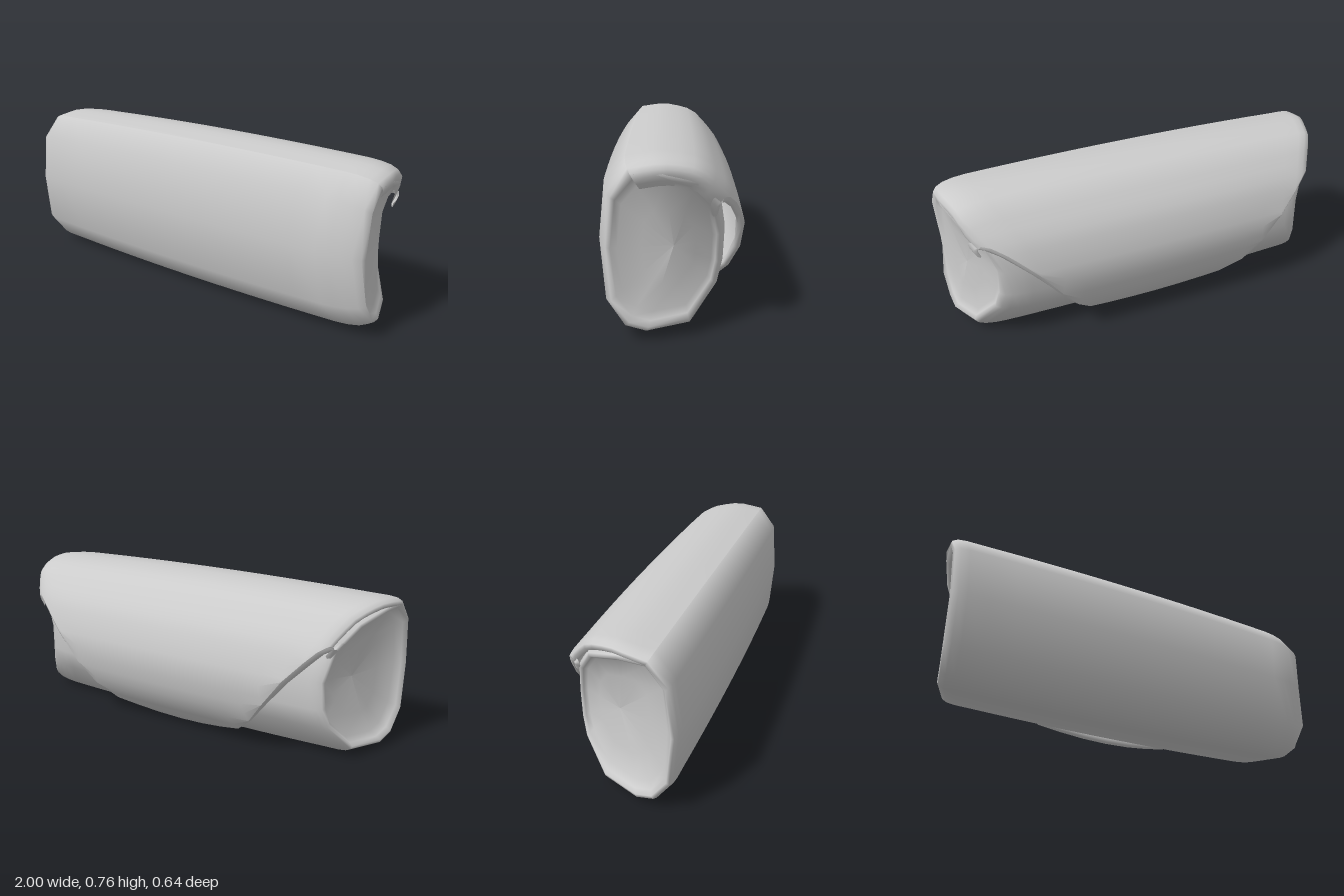
import * as THREE from 'three';

// Piecewise-linear lookup in a short list of [key, value] pairs
function lookup(table, k) {
  if (k <= table[0][0]) return table[0][1];
  for (let i = 1; i < table.length; i++) {
    const [a, va] = table[i - 1], [b, vb] = table[i];
    if (k <= b) return va + (vb - va) * (k - a) / (b - a);
  }
  return table[table.length - 1][1];
}

// Half length at each depth z: the ends slant inwards towards the back,
// and the inner layer slants more than the flap that covers it
const FLAP_LEFT = [[-0.32, 0.76], [-0.25, 0.83], [-0.18, 0.905], [-0.12, 0.95], [0.05, 0.995], [0.25, 1], [0.32, 0.9]];
const FLAP_RIGHT = [[-0.32, 0.74], [-0.25, 0.80], [-0.09, 0.915], [0.08, 0.98], [0.25, 1]];
const BODY_LEFT = [[-0.25, 0.76], [-0.18, 0.82], [-0.1, 0.91], [0.05, 0.985], [0.25, 1], [0.32, 0.9]];
const BODY_RIGHT = [[-0.25, 0.75], [-0.18, 0.81], [-0.1, 0.87], [0.05, 0.95], [0.25, 1]];
const MID_Y = 0.38;

function placeFlap(u, s, [pz, py]) {
  const z = pz * s, y = MID_Y + (py - MID_Y) * s;
  return [u * lookup(u > 0 ? FLAP_LEFT : FLAP_RIGHT, z), y, z];
}

// The body follows the flap along the top and its own slant lower down
function placeBody(u, s, point) {
  const [flapX, y, z] = placeFlap(u, s, point);
  const bodyX = u * lookup(u > 0 ? BODY_LEFT : BODY_RIGHT, z);
  return [THREE.MathUtils.lerp(bodyX, flapX, THREE.MathUtils.smoothstep(y, 0.42, 0.68)), y, z];
}

// Indexed skin over a list of equally long rows
function skin(rows, closed) {
  const n = rows[0].length, index = [];
  for (let i = 0; i < rows.length - 1; i++) {
    for (let j = 0; j < (closed ? n : n - 1); j++) {
      const k = (j + 1) % n, a = i * n, b = a + n;
      index.push(a + j, b + j, a + k, b + j, b + k, a + k);
    }
  }
  const g = new THREE.BufferGeometry();
  g.setAttribute('position', new THREE.Float32BufferAttribute(rows.flat(2), 3));
  g.setIndex(index);
  g.computeVertexNormals();
  return g;
}

// Lengthwise stations: [position, section scale]
const STATIONS = [[-1, 0.88], [-0.995, 0.92], [-0.97, 0.95], [-0.93, 0.963]];
for (let i = -6; i <= 6; i++) STATIONS.push([i * 0.14, 1 - 0.045 * (i * 0.14) ** 2]);
STATIONS.push([0.9, 0.955], [0.95, 0.93], [0.985, 0.89], [1, 0.84]);

export function createModel() {
  const group = new THREE.Group();
  const material = new THREE.MeshStandardMaterial({ color: 0xcccccc, side: THREE.DoubleSide });
  const add = (name, geometry) => {
    const mesh = new THREE.Mesh(geometry, material);
    mesh.name = name;
    group.add(mesh);
  };

  // Rolled body, section as [z, y]; hollowed at the right end, nearly flat at the left
  const section = [
    [0.318, 0.39], [0.292, 0.635], [0.2, 0.742], [0.05, 0.735], [-0.11, 0.685], [-0.2, 0.56],
    [-0.225, 0.4], [-0.217, 0.26], [-0.193, 0.165], [-0.07, 0.018], [0.12, 0.002], [0.21, 0.03], [0.292, 0.14],
  ];
  const bodyStations = [
    [-0.91, 0], [-0.92, 0.5], [-0.95, 0.78], [-0.98, 0.84],
    ...STATIONS,
    [0.985, 0.78], [0.965, 0.7], [0.955, 0.4], [0.955, 0],
  ];
  add('rolledBody', skin(bodyStations.map(([u, s]) => section.map((p) => placeBody(u, s, p))), true));

  // Outer flap: wraps over the top and down the back to a rounded tongue
  const wrap = new THREE.CatmullRomCurve3([
    [0.2, 0.742], [0.05, 0.762], [-0.12, 0.725], [-0.262, 0.57],
    [-0.318, 0.385], [-0.292, 0.22], [-0.23, 0.11], [-0.138, 0.015],
  ].map(([z, y]) => new THREE.Vector3(z, y, 0)), false, 'catmullrom', 0.3);
  const reach = [[0, 1], [0.2, 0.99], [0.43, 0.94], [0.65, 0.78], [0.88, 0.58], [0.95, 0.5], [1, 0.43]];
  const STEPS = 20;
  // The left end of the flap curls in over the end of the body
  const flapStations = [
    [-0.97, 0.82], ...STATIONS, [0.998, 0.78], [0.988, 0.72], [0.97, 0.66],
  ];
  add('outerFlap', skin(flapStations.map(([u, s]) => {
    const end = lookup(reach, Math.abs(u));
    const row = [];
    for (let j = 0; j < STEPS; j++) {
      const p = wrap.getPointAt(Math.min(j / STEPS, end));
      row.push(placeFlap(u, s, [p.x, p.y]));
    }
    // Rounded lip turned under along the free edge
    const tip = wrap.getPointAt(end), t = wrap.getTangentAt(end);
    for (const [out, inward] of [[0, 0], [0.008, 0.014], [0, 0.032], [-0.04, 0.036]]) {
      row.push(placeFlap(u, s, [tip.x + t.x * out - t.y * inward, tip.y + t.y * out + t.x * inward]));
    }
    return row;
  }), false));

  return group;
}
